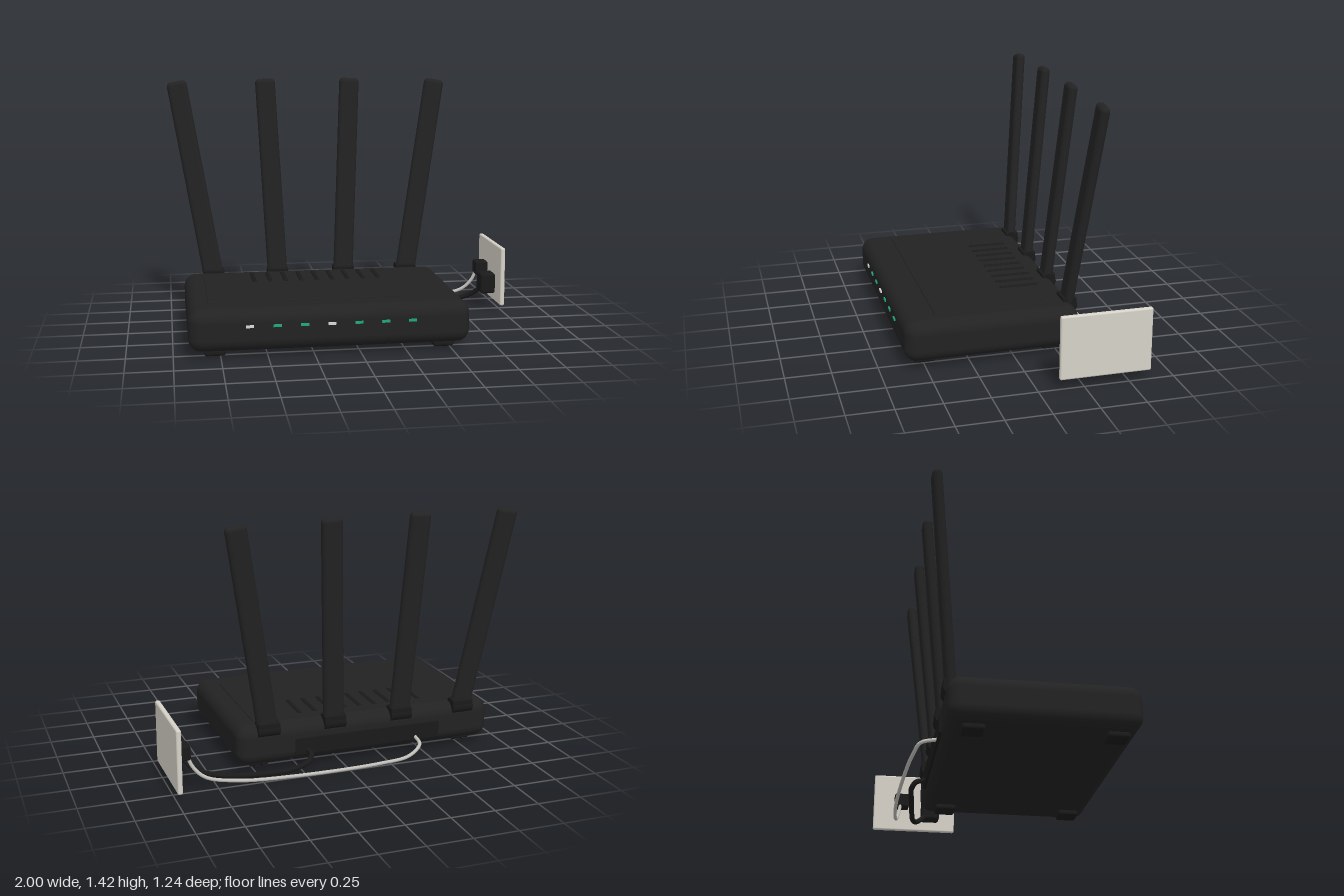
import * as THREE from 'three';
import { RoundedBoxGeometry } from 'three/addons/geometries/RoundedBoxGeometry.js';

const mat = (name, color) => {
  const m = new THREE.MeshStandardMaterial({ color });
  m.name = name;
  return m;
};

export function createModel() {
  const root = new THREE.Group();
  root.name = 'router';
  const shell = mat('charcoal shell', 0x222222);
  const dark = mat('black trim', 0x1a1a1a);
  const plateMat = mat('cream wall plate', 0xd6d2c8);
  const cableMat = mat('light grey cable', 0xc0beb8);
  const green = mat('green light', 0x20a67c);
  const white = mat('white light', 0xd8d8d8);

  const add = (name, geo, material, x = 0, y = 0, z = 0, parent = root) => {
    const m = new THREE.Mesh(geo, material);
    m.name = name;
    m.position.set(x, y, z);
    parent.add(m);
    return m;
  };
  const rbox = (w, h, d, r, s = 3) => new RoundedBoxGeometry(w, h, d, s, r);

  // Main case with slightly raised lid
  const cx = -0.16;
  add('case', rbox(1.52, 0.23, 0.98, 0.07, 6), shell, cx, 0.155, 0.122);
  add('lidPanel', rbox(1.3, 0.02, 0.69, 0.005, 2), shell, cx, 0.266, 0.085);

  // Vent ribs
  for (let i = 0; i < 9; i++) {
    add('ventRib', rbox(0.026, 0.02, 0.23, 0.009), dark, -0.523 + i * 0.0906, 0.273, -0.126);
  }

  // Status lights along the front
  for (let i = 0; i < 7; i++) {
    add('statusLight', new THREE.BoxGeometry(0.043, 0.014, 0.009),
      i % 3 === 0 && i < 6 ? white : green, -0.598 + i * 0.1453, 0.183, 0.6155);
  }

  // Rear port panel
  add('portPanel', rbox(0.87, 0.1, 0.02, 0.005, 2), dark, cx, 0.13, -0.366);

  // Feet
  for (const sx of [-1, 1]) {
    for (const z of [0.495, -0.23]) {
      add('foot', rbox(0.115, 0.036, 0.115, 0.015), dark, cx + sx * 0.62, 0.028, z);
    }
  }

  // Antennas fan outwards and lean back on hinge drums
  const drum = new THREE.CylinderGeometry(0.045, 0.045, 0.125, 24).rotateZ(Math.PI / 2);
  const blade = rbox(0.118, 1.18, 0.054, 0.025, 4).translate(0, 0.59, 0);
  [[-0.745, 0.167], [-0.36, 0.047], [0.04, -0.047], [0.425, -0.167]].forEach(([x, tilt]) => {
    const g = new THREE.Group();
    g.name = 'antenna';
    g.position.set(x, 0.245, -0.337);
    root.add(g);
    add('hinge', drum, dark, 0, 0, 0, g);
    add('hingeBase', rbox(0.125, 0.05, 0.08, 0.008, 2), dark, 0, 0.018, -0.003, g);
    const b = add('blade', blade, shell, 0, 0, 0, g);
    b.rotation.set(-0.1, 0, tilt);
    b.scale.y = tilt * tilt > 0.01 ? 1.003 : 1.0;
  });

  // Wall plate with two plugs on its inner side
  add('wallPlate', rbox(0.028, 0.355, 0.505, 0.01), plateMat, 0.985, 0.2275, -0.37);
  add('powerPlug', rbox(0.092, 0.125, 0.11, 0.015), dark, 0.924, 0.165, -0.275);
  add('dataPlug', rbox(0.08, 0.085, 0.088, 0.012), dark, 0.934, 0.222, -0.452);

  // Cables
  const cable = (name, pts, r, material) => {
    const curve = new THREE.CatmullRomCurve3(pts.map(p => new THREE.Vector3(...p)), false, 'centripetal');
    add(name, new THREE.TubeGeometry(curve, 96, r, 12), material);
  };
  cable('powerCable', [
    [0.9, 0.13, -0.3], [0.865, 0.09, -0.335], [0.8, 0.052, -0.37], [0.68, 0.028, -0.4], [0.5, 0.018, -0.42],
    [0.32, 0.028, -0.437], [0.225, 0.065, -0.445], [0.198, 0.095, -0.42], [0.2, 0.105, -0.365],
  ], 0.015, dark);
  cable('dataCable', [
    [0.91, 0.21, -0.46], [0.885, 0.14, -0.47], [0.82, 0.075, -0.488], [0.65, 0.038, -0.507], [0.35, 0.024, -0.52],
    [-0.18, 0.022, -0.507], [-0.36, 0.036, -0.49], [-0.44, 0.08, -0.455], [-0.45, 0.1, -0.365],
  ], 0.01, cableMat);
  return root;
}
